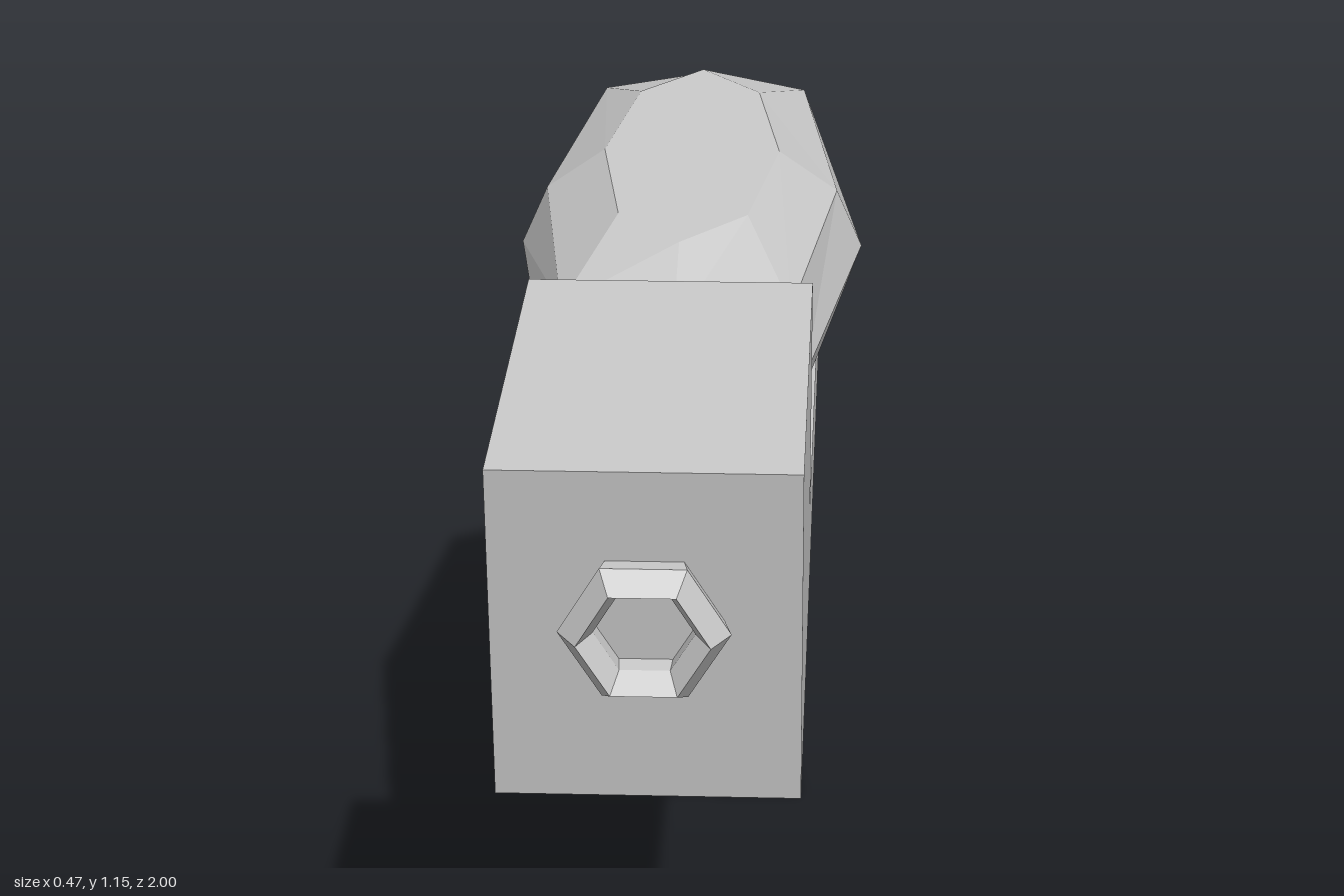
import * as THREE from 'three';

const material = new THREE.MeshStandardMaterial({ color: 0xcccccc, flatShading: true, side: THREE.DoubleSide });

function addMesh(group, name, geometry) {
  const mesh = new THREE.Mesh(geometry, material);
  mesh.name = name;
  group.add(mesh);
  return mesh;
}

// Side profile given as [z, y] corners, extruded across x
function sidePlate(profile, width) {
  const shape = new THREE.Shape(profile.map(([z, y]) => new THREE.Vector2(z, y)));
  const geometry = new THREE.ExtrudeGeometry(shape, { depth: width, bevelEnabled: false });
  return geometry.translate(0, 0, -width / 2).rotateY(-Math.PI / 2);
}

// Six-sided bevelled ring facing +z, from [radius, depth] points
function hexRing(profile) {
  const points = profile.map(([r, d]) => new THREE.Vector2(r, d));
  return new THREE.LatheGeometry(points, 6, Math.PI / 2).rotateX(Math.PI / 2);
}

// Eight-sided tank: stacked horizontal rings, closed top and bottom
function tankGeometry() {
  // y, side half-width, corner x, corner z, tip z
  const levels = [
    [0.86, 0.12, 0.085, 0.288, 0.405],
    [0.915, 0.2, 0.147, 0.495, 0.585],
    [0.993, 0.235, 0.166, 0.53, 0.61],
    [1.072, 0.2, 0.147, 0.495, 0.585],
    [1.127, 0.12, 0.085, 0.288, 0.405],
  ];
  const positions = [];
  const index = [];
  for (const [y, w, cx, cz, tip] of levels) {
    const ring = [[0, tip], [cx, cz], [w, 0], [cx, -cz], [0, -tip], [-cx, -cz], [-w, 0], [-cx, cz]];
    for (const [x, z] of ring) positions.push(x, y, z - 0.33);
  }
  for (let l = 0; l < levels.length - 1; l++) {
    for (let i = 0; i < 8; i++) {
      const a = l * 8 + i;
      const b = l * 8 + (i + 1) % 8;
      index.push(a, b, b + 8, a, b + 8, a + 8);
    }
  }
  const top = (levels.length - 1) * 8;
  for (let i = 1; i < 7; i++) {
    index.push(0, i + 1, i, top, top + i, top + i + 1);
  }
  const geometry = new THREE.BufferGeometry();
  geometry.setAttribute('position', new THREE.Float32BufferAttribute(positions, 3));
  geometry.setIndex(index);
  geometry.computeVertexNormals();
  return geometry;
}

export function createModel() {
  const model = new THREE.Group();
  model.name = 'waterPistol';

  // Stepped body: tall front block and thin rear deck
  addMesh(model, 'body', sidePlate([
    [0.89, 0.73], [0.964, 1.155], [0.315, 1.155], [0.31, 0.85], [-0.867, 0.85], [-0.894, 0.73],
  ], 0.35));

  // Raked grip
  addMesh(model, 'grip', sidePlate([
    [-0.41, 0.735], [-0.622, 0.004], [-0.998, 0.12], [-0.802, 0.735],
  ], 0.315));

  // Thin bent strips below the body
  addMesh(model, 'triggerGuard', sidePlate([
    [-0.108, 0.735], [-0.23, 0.517], [-0.49, 0.517], [-0.49, 0.53], [-0.239, 0.53], [-0.123, 0.735],
  ], 0.065));
  addMesh(model, 'trigger', sidePlate([
    [-0.367, 0.735], [-0.348, 0.622], [-0.242, 0.587], [-0.245, 0.573], [-0.36, 0.609], [-0.382, 0.735],
  ], 0.065));

  // Tank with its neck ring against the front block
  addMesh(model, 'tank', tankGeometry());
  const neck = addMesh(model, 'neckRing', hexRing([[0.115, -0.005], [0.14, 0.038], [0.11, 0.09], [0.08, 0.04]]));
  neck.position.set(0, 0.99, 0.313);
  neck.rotation.y = Math.PI;

  // Nozzle ring, tilted with the front face
  const nozzle = addMesh(model, 'nozzleRing', hexRing([[0.085, -0.01], [0.097, 0.028], [0.075, 0.058], [0.057, 0.028], [0.062, -0.01]]));
  nozzle.position.set(0, 0.967, 0.931);
  nozzle.rotation.x = 0.174;

  return model;
}
